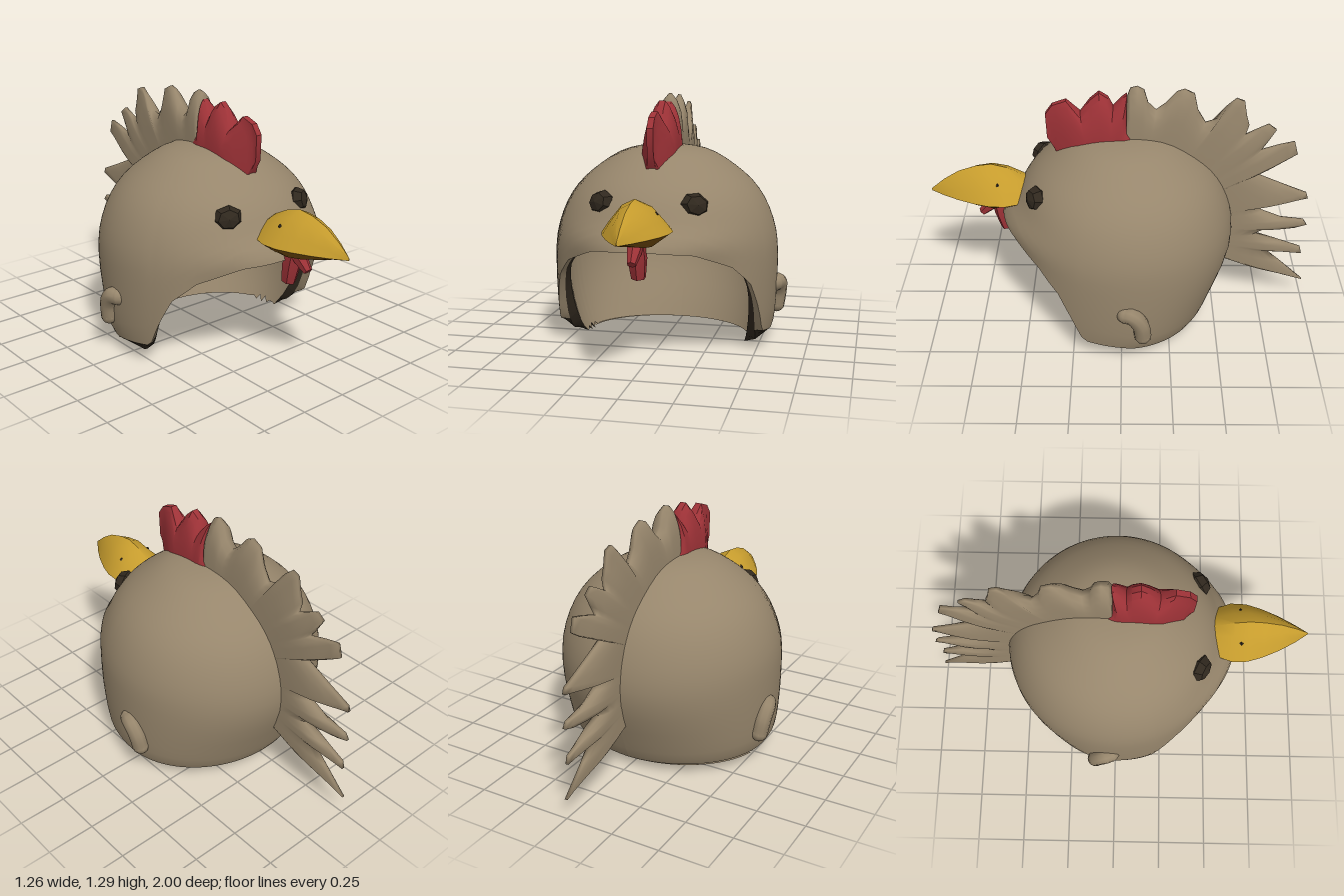
import * as THREE from 'three';
import { toCreasedNormals } from 'three/addons/utils/BufferGeometryUtils.js';

const paint = (name, color) => new THREE.MeshStandardMaterial({ name, color, side: THREE.DoubleSide });
const V = (x, y, z) => new THREE.Vector3(x, y, z);
const { lerp, smoothstep, degToRad, clamp } = THREE.MathUtils;

// Surface through rows of points, all rows equally long
function loft(rows, crease) {
  const n = rows[0].length, index = [];
  for (let i = 0; i < rows.length - 1; i++) {
    for (let j = 0; j < n - 1; j++) {
      const a = i * n + j, b = a + n;
      index.push(a, a + 1, b, a + 1, b + 1, b);
    }
  }
  const geo = new THREE.BufferGeometry().setFromPoints(rows.flat());
  geo.setIndex(index);
  geo.computeVertexNormals();
  return crease === undefined ? geo : toCreasedNormals(geo, crease);
}

// Piecewise linear lookup in [key, value] pairs
function lookup(table, k) {
  let i = 1;
  while (i < table.length - 1 && table[i][0] < k) i++;
  const [a, b] = [table[i - 1], table[i]];
  return lerp(a[1], b[1], clamp((k - a[0]) / (b[0] - a[0]), 0, 1));
}

// Dome profiles as [radius, height], and rim heights by degrees from the front
const curve = pts => new THREE.SplineCurve(pts.map(p => new THREE.Vector2(...p)));
const outer = curve([[0, 1.05], [.12, 1.045], [.24, 1.015], [.36, .94], [.46, .85], [.53, .74],
  [.575, .6], [.585, .45], [.58, .25], [.565, .12], [.53, .055]]);
const inner = curve([[0, .98], [.12, .975], [.24, .945], [.35, .87], [.44, .76], [.5, .64],
  [.525, .5], [.51, .3], [.47, .13], [.42, 0]]);
const outerRim = [[0, .6], [25, .58], [45, .5], [57, .4], [64, .27], [70, .13], [85, .11], [100, .085], [180, .065]];
const innerRim = [[0, .605], [25, .59], [45, .53], [57, .45], [64, .35], [70, .2], [76, .09], [82, .035], [180, .028]];

function domePoint(profile, u, deg) {
  const p = profile.getPoint(u), a = degToRad(deg);
  let z = p.x * Math.cos(a);
  if (z < 0) z *= 1 - .17 * smoothstep(.5 - p.y, 0, .45);
  else if (profile === outer) z += .055 * Math.cos(a) ** 4 * Math.exp(-(((p.y - .61) / .07) ** 2));
  return V(p.x * Math.sin(a), p.y, z);
}

// Curve parameter where the profile meets the rim height; the lining is ragged at the sides
function rimParam(profile, rim, deg) {
  let y = lookup(rim, Math.abs(deg)), lo = 0, hi = 1;
  if (rim === innerRim && Math.abs(deg) > 78 && Math.abs(deg) < 108) y += .018 * Math.sin(deg * .9);
  for (let k = 0; k < 24; k++) {
    const mid = (lo + hi) / 2;
    if (profile.getPoint(mid).y > y) lo = mid; else hi = mid;
  }
  return lo;
}

function dome(profile, rim) {
  const rows = [];
  for (let d = -180; d <= 180; d += 3) {
    const end = rimParam(profile, rim, d);
    rows.push(Array.from({ length: 23 }, (_, j) => domePoint(profile, end * Math.max(j / 22, .002), d)));
  }
  return loft(rows);
}

// Lip joining both domes between two angles, in an outer and an inner strip
function lip(from, to, strip) {
  const rows = [], steps = Math.ceil(Math.abs(to - from) / 3);
  for (let i = 0; i <= steps; i++) {
    const d = lerp(from, to, i / steps), k = Math.abs(d);
    const a = domePoint(outer, rimParam(outer, outerRim, d), d);
    const b = domePoint(inner, rimParam(inner, innerRim, d), d);
    const m = a.clone().lerp(b, .55);
    const drop = .03 * smoothstep(k, 50, 80) * (1 - smoothstep(k, 95, 115));
    m.y = Math.max(Math.min(.05, m.y), m.y - drop);
    rows.push(strip === 'outer' ? [a, m] : [m, b]);
  }
  return loft(rows);
}

// Upright fin in the x = 0 plane: outline of [z, y], radiating from a centre
function fin(outline, [cz, cy], baseR, widthAt, edge, crease) {
  const rows = outline.map(([z, y]) => {
    const len = Math.hypot(z - cz, y - cy);
    const side = [0, .3, .55, .75, .9, 1].map(t => {
      const d = lerp(baseR, len, t), k = d / len, pz = cz + (z - cz) * k;
      const w = Math.max(edge, widthAt(d, pz) * Math.sqrt(1 - t ** 4));
      return V(w, cy + (y - cy) * k, pz);
    });
    return [...side, ...side.map(p => V(-p.x, p.y, p.z)).reverse()];
  });
  return loft(rows, crease);
}

export function createModel() {
  const model = new THREE.Group();
  const tan = paint('tan plumage', 0x97866c), red = paint('comb red', 0x9e3237);
  const yellow = paint('beak yellow', 0xc69c2d), brown = paint('beak underside brown', 0x7d5310);
  const dark = paint('dark brown', 0x30281e);
  const add = (name, geo, mat, parent = model) => {
    const mesh = new THREE.Mesh(geo, mat);
    mesh.name = name;
    parent.add(mesh);
    return mesh;
  };

  // Hood with a tan lip, dark inside the face opening and under the cheeks
  add('hoodOuter', dome(outer, outerRim), tan);
  add('hoodLining', dome(inner, innerRim), tan);
  add('browLip', lip(-72, 72, 'outer'), tan);
  add('browLipInside', lip(-72, 72, 'inner'), dark);
  for (const strip of ['outer', 'inner']) {
    add('backLip', lip(102, 258, strip), tan);
    for (const s of [-1, 1]) add('cheekLip', lip(s * 72, s * 102, strip), dark);
  }

  // Feather crest down the back
  const feathers = [[-.02, 1.06], [-.02, 1.24], [-.04, 1.3], [-.075, 1.31], [-.11, 1.29], [-.13, 1.22], [-.17, 1.18],
    [-.22, 1.22], [-.27, 1.28], [-.31, 1.295], [-.36, 1.27], [-.38, 1.18], [-.42, 1.11], [-.48, 1.13],
    [-.53, 1.21], [-.57, 1.245], [-.61, 1.23], [-.625, 1.15], [-.64, 1.1], [-.625, 1.04], [-.68, 1.07],
    [-.74, 1.1], [-.78, 1.07], [-.74, 1.0], [-.71, .95], [-.8, .98], [-.88, 1.0], [-.9, .93], [-.84, .89],
    [-.7, .86], [-.69, .81], [-.85, .74], [-.97, .69], [-.98, .66], [-.9, .65], [-.76, .66], [-.69, .61],
    [-.74, .58], [-.86, .53], [-.97, .52], [-.99, .49], [-.93, .47], [-.8, .48], [-.71, .43], [-.86, .38],
    [-.97, .34], [-.98, .3], [-.9, .31], [-.78, .32], [-.86, .25], [-1, .12], [-.85, .17], [-.72, .25], [-.54, .29]];
  const crestWidth = (d, z) => lerp(.07, .042, clamp(-z / .5, 0, 1)) * (1 - .6 * smoothstep(d, .7, 1));
  add('featherCrest', fin(feathers, [-.05, .5], .48, crestWidth, .008), tan);

  // Red comb, narrowing to the front
  const comb = [[.34, .96], [.38, 1.03], [.385, 1.16], [.35, 1.21], [.28, 1.235], [.21, 1.17], [.16, 1.24],
    [.115, 1.28], [.07, 1.25], [.045, 1.2], [0, 1.25], [-.025, 1.27], [-.025, 1.13], [-.05, 1.08], [-.03, 1.03]];
  const combWidth = (d, z) => (.085 - .1 * Math.max(0, d - .47)) * clamp((.41 - z) / .2, .1, 1);
  add('comb', fin(comb, [.1, .6], .37, combWidth, .016, .6), red);

  // Beak from cross-sections: z, half width, top, bottom
  const sections = [[.46, .10, .76, .68], [.52, .135, .80, .665], [.6, .163, .84, .645], [.68, .16, .86, .64],
    [.76, .135, .85, .65], [.85, .095, .82, .67], [.93, .05, .77, .69], [1, .002, .712, .705]];
  const mirrored = half => [...half.map(p => V(-p.x, p.y, p.z)), ...half.slice(0, -1).reverse()];
  add('beakTop', loft(sections.map(([z, w, t]) => mirrored(
    [[1, 0], [.75, .36], [.38, .82], [0, 1]].map(([kx, ky]) => V(w * kx, lerp(.7, t, ky), z)))), .7), yellow);
  add('beakUnderside', loft(sections.map(([z, w, , b]) => mirrored(
    [V(w, .7, z), V(w * .5, b, z), V(0, b, z)])), .7), brown);

  // Wattles under the beak: faceted lobes between two points
  const lobe = (from, to, rTop, rBottom, bulge) => {
    const dir = to.clone().sub(from);
    const geo = new THREE.CylinderGeometry(rTop, rBottom, dir.length(), 6, 2);
    const p = geo.attributes.position;
    for (let i = 0; i < p.count; i++) {
      if (Math.abs(p.getY(i)) < .001) p.setXYZ(i, p.getX(i) * bulge, 0, p.getZ(i) * bulge);
    }
    const mesh = add('wattle', toCreasedNormals(geo, .3), red);
    mesh.position.copy(from).add(to).multiplyScalar(.5);
    mesh.quaternion.setFromUnitVectors(V(0, -1, 0), dir.normalize());
  };
  lobe(V(0, .66, .65), V(0, .475, .615), .04, .036, 1.25);
  lobe(V(0, .66, .65), V(0, .565, .745), .04, .022, 1.15);

  // Mirrored eyes, nostrils and ear tufts
  for (const s of [-1, 1]) {
    const eyeGeo = new THREE.SphereGeometry(1, 7, 4).rotateX(Math.PI / 2).scale(.074, .064, .055);
    const eye = add('eye', toCreasedNormals(eyeGeo, .2), dark);
    eye.position.set(s * .23, .797, .425);
    eye.lookAt(s * .75, 1.0, 1.3);
    eye.rotateZ(s * -.15);

    const nostril = add('nostril', new THREE.OctahedronGeometry(.013), dark);
    nostril.position.set(s * .09, .785, .64);

    const tuft = new THREE.Group();
    tuft.name = 'earTuft';
    model.add(tuft);
    const path = new THREE.CatmullRomCurve3([V(s * .575, .335, -.02), V(s * .588, .335, -.055),
      V(s * .585, .28, -.095), V(s * .573, .2, -.108)]);
    add('tuftStem', new THREE.TubeGeometry(path, 12, .044, 10), tan, tuft);
    for (const t of [0, 1]) {
      add('tuftEnd', new THREE.SphereGeometry(.044, 10, 8), tan, tuft).position.copy(path.getPoint(t));
    }
  }
  return model;
}
